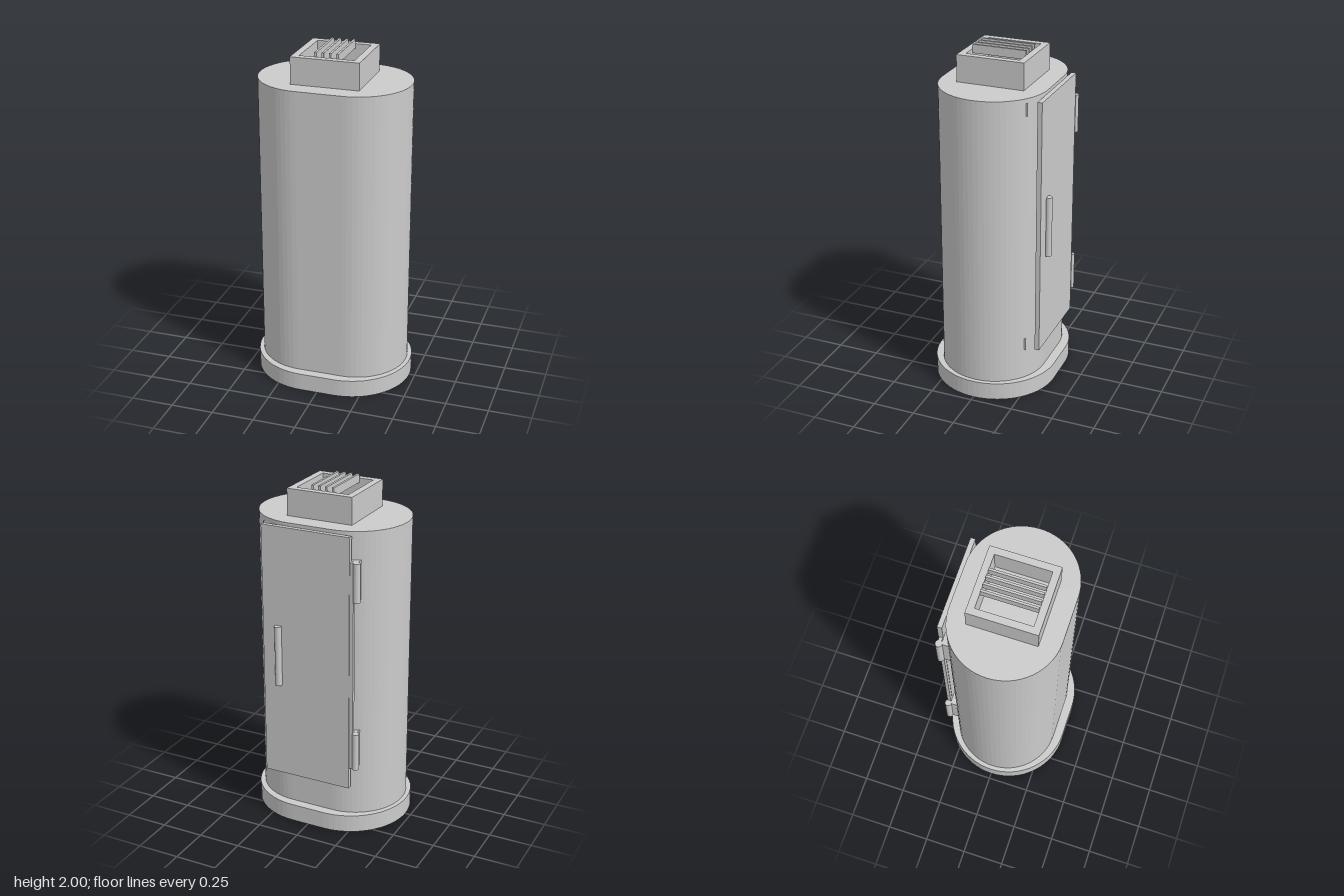
import * as THREE from 'three';

const material = new THREE.MeshStandardMaterial({ color: 0xcccccc });

export function createModel() {
  const model = new THREE.Group();

  const add = (name, geometry, x = 0, y = 0, z = 0) => {
    const mesh = new THREE.Mesh(geometry, material);
    mesh.name = name;
    mesh.position.set(x, y, z);
    model.add(mesh);
    return mesh;
  };

  // Box given by its extents
  const block = (name, [x0, x1], [y0, y1], [z0, z1]) =>
    add(name, new THREE.BoxGeometry(x1 - x0, y1 - y0, z1 - z0),
      (x0 + x1) / 2, (y0 + y1) / 2, (z0 + z1) / 2);

  const rod = (name, x, z, radius, y0, y1) =>
    add(name, new THREE.CylinderGeometry(radius, radius, y1 - y0, 16), x, (y0 + y1) / 2, z);

  // Upright extrusion of a shape
  const prism = (name, shape, y0, y1) => {
    const geometry = new THREE.ExtrudeGeometry(shape, {
      depth: y1 - y0, bevelEnabled: false, curveSegments: 16,
    });
    geometry.rotateX(-Math.PI / 2);
    return add(name, geometry, 0, y0, 0);
  };

  // Two half circles joined by straight sides
  const stadium = (halfFlat, radius) => {
    const shape = new THREE.Shape();
    shape.absarc(halfFlat, 0, radius, -Math.PI / 2, Math.PI / 2);
    shape.absarc(-halfFlat, 0, radius, Math.PI / 2, Math.PI * 1.5);
    shape.closePath();
    return shape;
  };

  prism('base', stadium(0.102, 0.364), 0, 0.105);
  prism('body', stadium(0.131, 0.31), 0.1, 1.82);

  // Open square vent on the roof with a grille of slats
  const square = (h) => [[-h, -h], [h, -h], [h, h], [-h, h]].map(([x, y]) => new THREE.Vector2(x, y));
  const frame = new THREE.Shape(square(0.197));
  frame.holes.push(new THREE.Path(square(0.157).reverse()));
  prism('ventFrame', frame, 1.82, 1.975);
  for (let i = 0; i < 4; i++) {
    const x = -0.0645 + i * 0.0417;
    block('ventSlat', [x - 0.0065, x + 0.0065], [1.95, 2], [-0.157, 0.157]);
  }

  // Rear door with its handle
  block('door', [-0.25, 0.285], [0.29, 1.8], [-0.336, -0.309]);
  rod('doorHandle', 0.186, -0.346, 0.02, 0.86, 1.22);

  // Hinge: long leaf on the door edge, knuckles and body leaves at both ends
  block('hingeDoorLeaf', [-0.272, -0.25], [0.42, 1.66], [-0.331, -0.311]);
  for (const [y0, y1] of [[0.42, 0.645], [1.435, 1.66]]) {
    rod('hingeKnuckle', -0.287, -0.322, 0.02, y0, y1);
    block('hingeBodyLeaf', [-0.287, -0.14], [y0, y1], [-0.308, -0.25]);
  }

  // Small catches on the body beside the free edge of the door
  for (const y of [0.29, 1.722]) {
    block('doorCatch', [0.27, 0.309], [y, y + 0.072], [-0.261, -0.245]);
  }

  return model;
}
